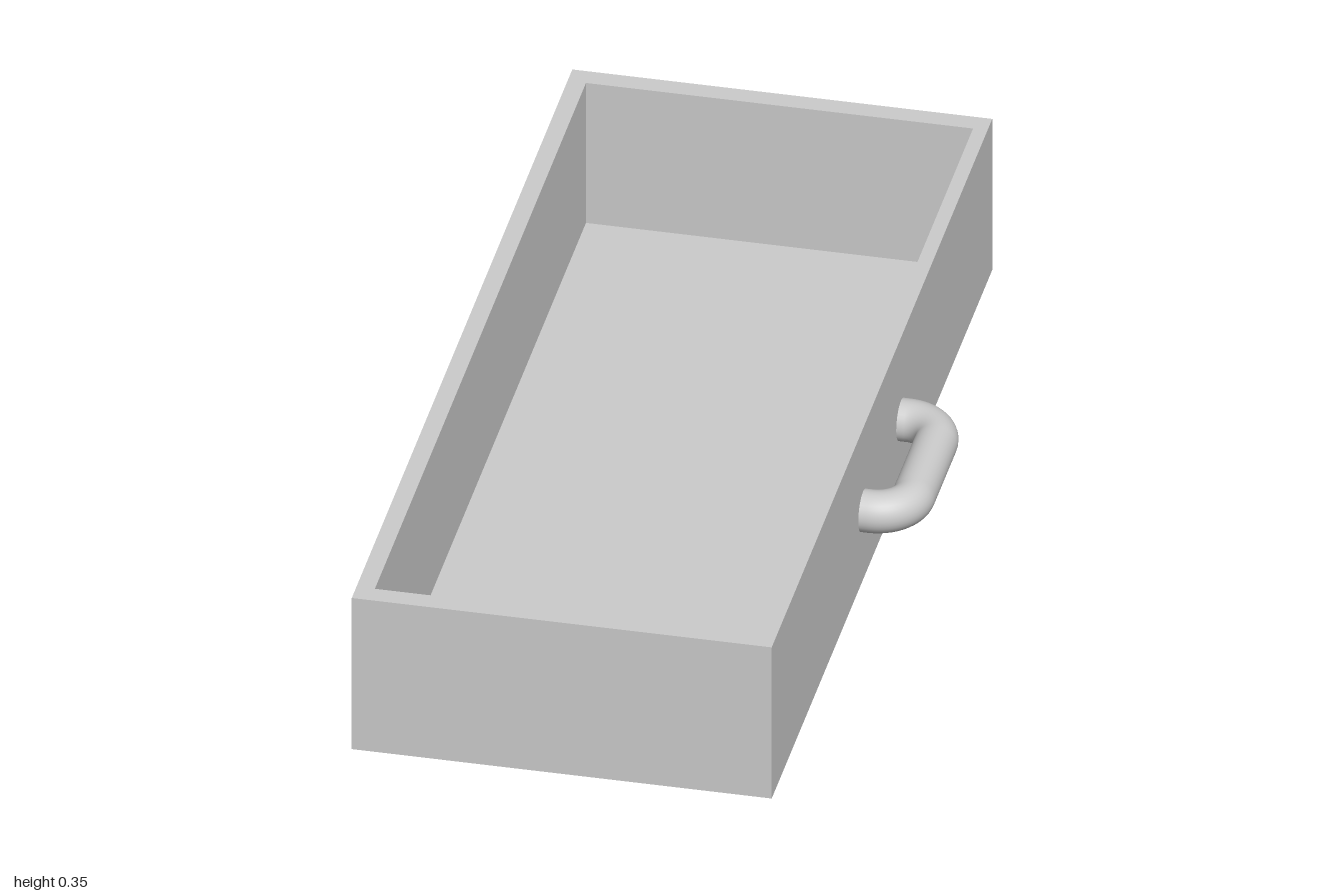
import * as THREE from 'three';

const material = new THREE.MeshStandardMaterial({ color: 0xcccccc });

// Rectangular ring of corners, counter-clockwise seen from above
const ring = (x0, x1, z, y) => [[x0, y, z], [x1, y, z], [x1, y, -z], [x0, y, -z]];

// Open tray skinned through rings: outside, over the rim, down the inside
function trayGeometry() {
  const rings = [
    ring(-0.487, 0.357, 1, 0),
    ring(-0.487, 0.357, 1, 0.35),
    ring(-0.45, 0.328, 0.957, 0.35),
    ring(-0.45, 0.328, 0.957, 0.026),
  ];
  const positions = [];
  const quad = (a, b, c, d) => positions.push(...a, ...b, ...c, ...a, ...c, ...d);
  for (let i = 0; i < rings.length - 1; i++) {
    for (let j = 0; j < 4; j++) {
      const k = (j + 1) % 4;
      quad(rings[i][j], rings[i][k], rings[i + 1][k], rings[i + 1][j]);
    }
  }
  quad(...rings[3]); // inner floor
  quad(...[...rings[0]].reverse()); // underside
  const geometry = new THREE.BufferGeometry();
  geometry.setAttribute('position', new THREE.Float32BufferAttribute(positions, 3));
  geometry.computeVertexNormals();
  return geometry;
}

// Round bar with two bends, ending at the wall
function handleGeometry() {
  const y = 0.161, wall = 0.355, out = 0.443, half = 0.172, bend = 0.072;
  const v = (x, z) => new THREE.Vector3(x, y, z);
  const path = new THREE.CurvePath();
  const k = bend * 0.4477; // control point distance for a circular bend
  path.add(new THREE.LineCurve3(v(wall, half), v(out - bend, half)));
  path.add(new THREE.CubicBezierCurve3(
    v(out - bend, half), v(out - k, half), v(out, half - k), v(out, half - bend)));
  path.add(new THREE.LineCurve3(v(out, half - bend), v(out, bend - half)));
  path.add(new THREE.CubicBezierCurve3(
    v(out, bend - half), v(out, k - half), v(out - k, -half), v(out - bend, -half)));
  path.add(new THREE.LineCurve3(v(out - bend, -half), v(wall, -half)));
  return new THREE.TubeGeometry(path, 80, 0.043, 32, false);
}

export function createModel() {
  const model = new THREE.Group();
  model.name = 'drawer';
  const add = (name, geometry) => {
    const mesh = new THREE.Mesh(geometry, material);
    mesh.name = name;
    model.add(mesh);
  };
  add('tray', trayGeometry());
  add('handle', handleGeometry());
  return model;
}
